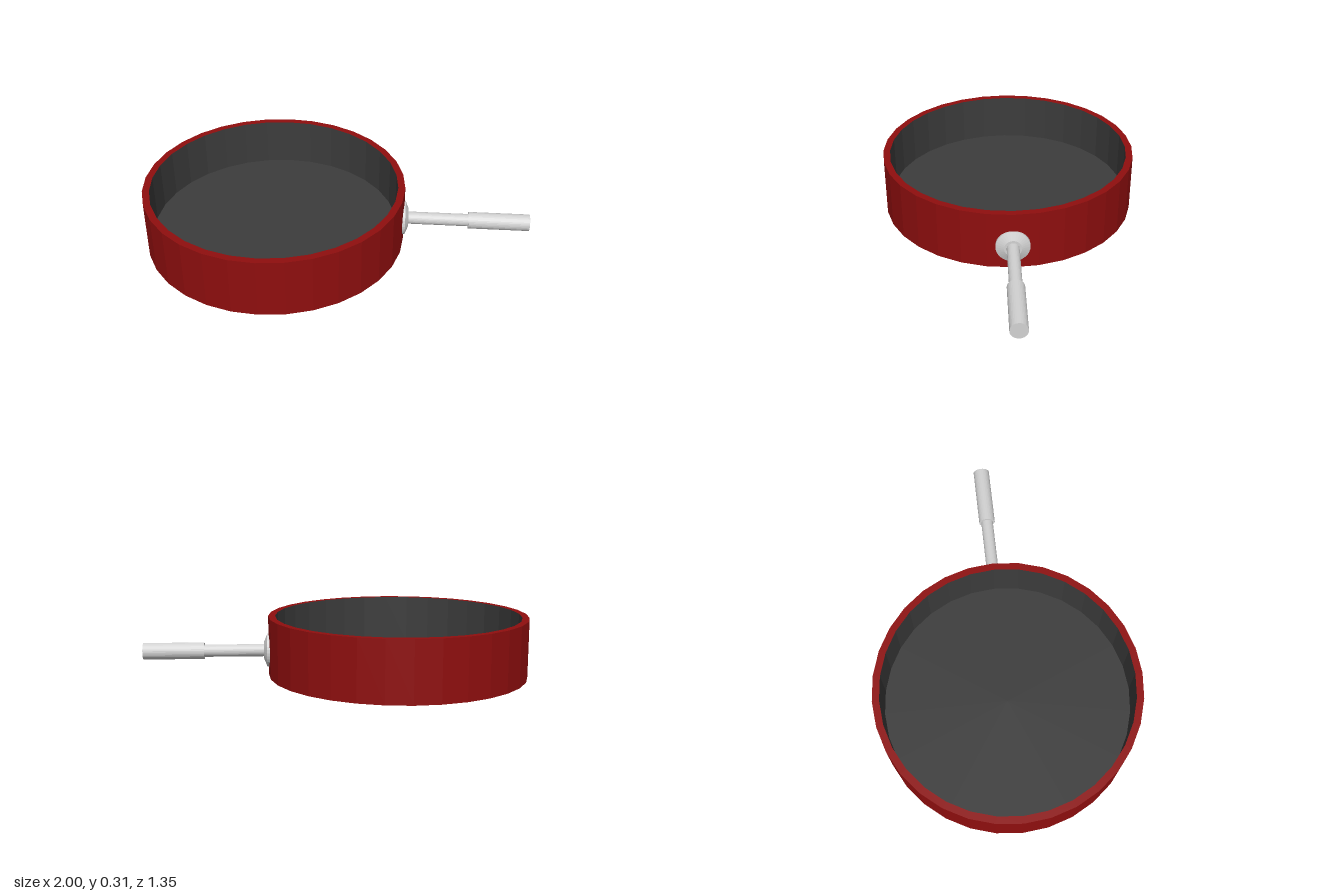
import * as THREE from 'three';

const SIDES = 32;

export function createModel() {
  const material = (name, color) => {
    const m = new THREE.MeshStandardMaterial({ color, flatShading: true });
    m.name = name;
    return m;
  };
  const red = material('red enamel', 0x8f0e0e);
  const dark = material('dark coating', 0x3c3c3c);
  const silver = material('brushed metal', 0xd2d2d2);

  const model = new THREE.Group();
  model.name = 'pan';

  // Pan body: each part is a profile of (radius, height) points turned about the pan's axis
  const bowl = new THREE.Group();
  bowl.name = 'bowl';
  bowl.position.x = -0.324;
  model.add(bowl);
  const turned = (name, points, mat) => {
    const profile = points.map(([r, y]) => new THREE.Vector2(r, y));
    const mesh = new THREE.Mesh(new THREE.LatheGeometry(profile, SIDES), mat);
    mesh.name = name;
    bowl.add(mesh);
  };
  const outer = 0.676, inner = 0.64, height = 0.31, floor = 0.057;
  turned('outerWallAndRim', [[outer, 0], [outer, height], [inner, height]], red);
  turned('innerWallAndFloor', [[inner, height], [inner, floor], [0, floor]], dark);
  turned('underside', [[0, 0], [outer, 0]], dark);

  // Handle: stacked cylinders running along +x
  const handle = new THREE.Group();
  handle.name = 'handle';
  handle.position.y = 0.128;
  model.add(handle);
  const rod = (name, x0, x1, r0, r1) => {
    const geo = new THREE.CylinderGeometry(r1, r0, x1 - x0, SIDES);
    geo.rotateZ(-Math.PI / 2);
    geo.translate((x0 + x1) / 2, 0, 0);
    const mesh = new THREE.Mesh(geo, silver);
    mesh.name = name;
    handle.add(mesh);
  };
  rod('mountingPlate', 0.34, 0.358, 0.087, 0.087);
  rod('mountingCone', 0.358, 0.375, 0.087, 0.045);
  rod('shaft', 0.35, 0.69, 0.032, 0.032);
  rod('grip', 0.685, 1, 0.043, 0.043);

  return model;
}
